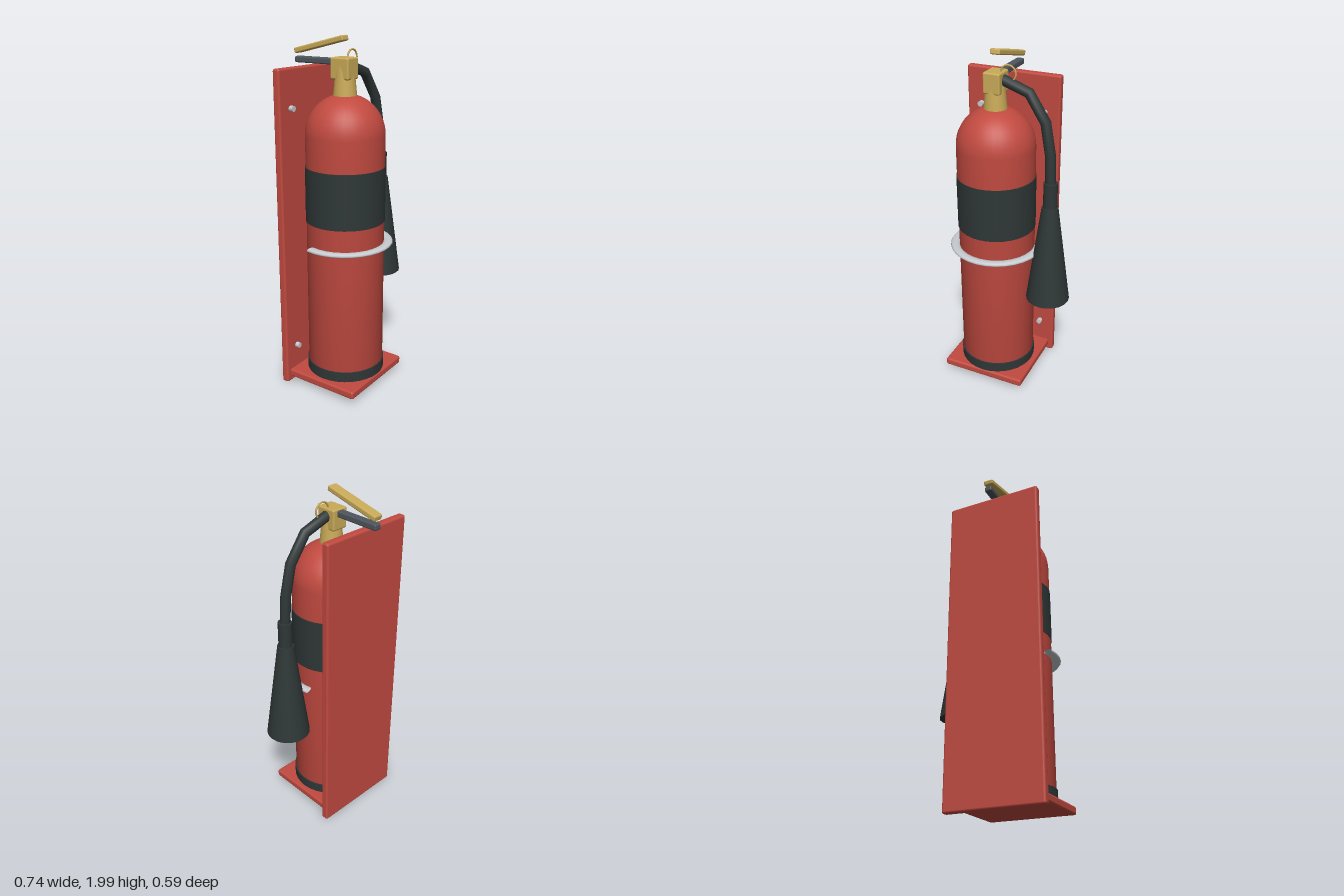
import * as THREE from 'three';
import { RoundedBoxGeometry } from 'three/addons/geometries/RoundedBoxGeometry.js';

const material = (name, color) => new THREE.MeshStandardMaterial({ name, color });

export function createModel() {
  const red = material('red paint', 0xc14a40);
  const black = material('black rubber', 0x2f3737);
  const brass = material('brass', 0xc9aa58);
  const steel = material('dark steel', 0x4e575d);
  const silver = material('silver', 0xc8cbd0);
  silver.side = THREE.DoubleSide;

  const group = new THREE.Group();
  const add = (name, geometry, mat, x, y, z) => {
    const mesh = new THREE.Mesh(geometry, mat);
    mesh.name = name;
    mesh.position.set(x, y, z);
    group.add(mesh);
    return mesh;
  };
  const box = (w, h, d, r) => new RoundedBoxGeometry(w, h, d, 2, r);

  // axis of the cylinder
  const cx = -0.088, cz = 0.028;

  // wall bracket: back plate, shelf and bolts
  add('backPlate', box(0.564, 1.83, 0.045, 0.012), red, cx, 0.919, -0.212);
  add('shelf', box(0.51, 0.046, 0.47, 0.012), red, cx, 0.058, 0.022);
  for (const side of [-1, 1]) {
    for (const y of [0.22, 1.622]) {
      const bolt = add('bolt', new THREE.CylinderGeometry(0.016, 0.016, 0.03, 16), silver,
        cx + side * 0.194, y, -0.181);
      bolt.rotation.x = Math.PI / 2;
    }
  }

  // tank with a domed shoulder
  const R = 0.219, domeY = 1.478;
  const profile = [new THREE.Vector2(0, 0.081), new THREE.Vector2(R, 0.081)];
  for (let i = 0; i <= 12; i++) {
    const a = (i / 12) * Math.PI / 2;
    profile.push(new THREE.Vector2(R * Math.cos(a), domeY + R * Math.sin(a)));
  }
  add('tank', new THREE.LatheGeometry(profile, 32), red, cx, 0, cz);
  add('baseRing', new THREE.CylinderGeometry(0.226, 0.226, 0.06, 32), black, cx, 0.11, cz);
  add('labelBand', new THREE.CylinderGeometry(0.223, 0.223, 0.31, 32), black, cx, 1.15, cz);

  // open strap around the front, flattened torus
  const overlap = 0.25;
  const strap = new THREE.TorusGeometry(0.245, 0.027, 10, 18, Math.PI + overlap * 2);
  strap.rotateZ(-overlap).rotateX(Math.PI / 2).scale(1, 0.45, 1);
  add('strap', strap, silver, cx, 0.867, 0.025);

  // valve neck and head
  add('valveNeck', new THREE.CylinderGeometry(0.049, 0.065, 0.17, 20), brass, cx, 1.765, cz);
  add('valveHead', box(0.098, 0.115, 0.118, 0.01), brass, cx, 1.829, 0.023);

  // squeeze handles
  const lever = add('upperHandle', box(0.058, 0.03, 0.336, 0.008), brass, cx, 1.946, -0.132);
  lever.rotation.x = -0.237;
  add('lowerHandle', box(0.044, 0.034, 0.28, 0.008), steel, cx, 1.861, -0.157);

  // safety pin ring
  add('pinRing', new THREE.TorusGeometry(0.043, 0.005, 8, 24), brass, -0.015, 1.88, 0.023);

  // hose leading to the discharge horn
  const hosePath = new THREE.CatmullRomCurve3([
    [-0.06, 1.848, 0.022], [0.1, 1.795, 0.024], [0.2, 1.65, 0.03],
    [0.235, 1.47, 0.037], [0.242, 1.3, 0.042],
  ].map((p) => new THREE.Vector3(...p)));
  add('hose', new THREE.TubeGeometry(hosePath, 4, 0.029, 12, false), black, 0, 0, 0);
  add('hornCollar', new THREE.CylinderGeometry(0.039, 0.039, 0.15, 20), black, 0.243, 1.245, 0.042);
  add('horn', new THREE.CylinderGeometry(0.046, 0.126, 0.588, 20), black, 0.243, 0.881, 0.042);

  return group;
}
